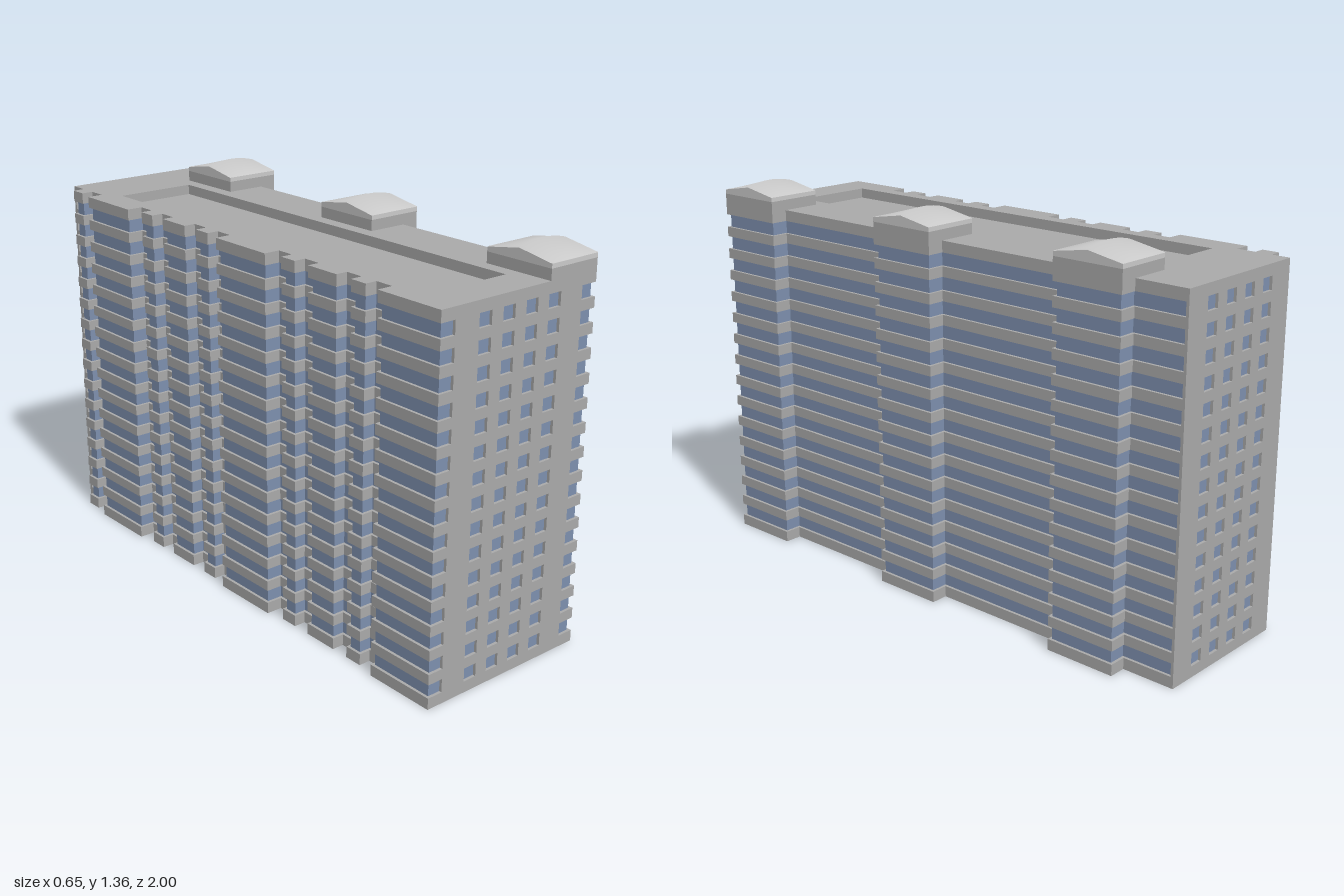
import * as THREE from 'three';

const concrete = new THREE.MeshStandardMaterial({ color: 0xaaaaaa });
const glass = new THREE.MeshStandardMaterial({ color: 0x7e90af });
const light = new THREE.MeshStandardMaterial({ color: 0xcccccc });

const FLOORS = 15, STEP = 0.0815, SILL = 0.039, BAND = 0.046, TOP = 1.265;
const WALL_R = 0.265, WALL_L = -0.27, OUT = 0.327, INSET = 0.01;

// Projecting bays: [zStart, zEnd, outer x]
const towers = [[-0.81, -0.55], [-0.034, 0.222], [0.742, 1]];
const rightBays = towers.map(([a, b]) => [a, b, OUT]);
const leftBays = [
  ...towers.map(([a, b]) => [a, b, -OUT]),
  ...[[-0.935, -0.875], [-0.487, -0.422], [-0.357, -0.23], [-0.165, -0.1],
    [0.285, 0.35], [0.415, 0.545], [0.61, 0.675]].map(([a, b]) => [a, b, -0.312]),
].sort((p, q) => q[0] - p[0]);

// Building outline in plan, shrunk by d on every side
function footprint(d) {
  const r = WALL_R - d, l = WALL_L + d;
  const pts = [[r, -1 + d]];
  for (const [a, b, x] of rightBays) {
    pts.push([r, a + d], [x - d, a + d], [x - d, b - d], [r, b - d]);
  }
  for (const [a, b, x] of leftBays) {
    pts.push([l, b - d], [x + d, b - d], [x + d, a + d], [l, a + d]);
  }
  pts.push([l, -1 + d]);
  return new THREE.Shape(pts.map(([x, z]) => new THREE.Vector2(x, z)));
}

// Horizontal layer of a plan shape between two heights
function layer(shape, y0, y1) {
  const g = new THREE.ExtrudeGeometry(shape, { depth: y1 - y0, bevelEnabled: false });
  return g.rotateX(Math.PI / 2).translate(0, y1, 0);
}

function box(x0, x1, y0, y1, z0, z1) {
  return new THREE.BoxGeometry(x1 - x0, y1 - y0, z1 - z0)
    .translate((x0 + x1) / 2, (y0 + y1) / 2, (z0 + z1) / 2);
}

export function createModel() {
  const model = new THREE.Group();
  const add = (name, geometry, material, parent = model) => {
    const mesh = new THREE.Mesh(geometry, material);
    mesh.name = name;
    parent.add(mesh);
    return mesh;
  };

  const solid = footprint(0);
  const glazing = footprint(INSET);
  const pit = { x0: -0.222, x1: 0.074, z0: -0.747, z1: 0.865 };
  const pierced = footprint(0);
  pierced.holes.push(new THREE.Path([
    [pit.x0, pit.z0], [pit.x0, pit.z1], [pit.x1, pit.z1], [pit.x1, pit.z0],
  ].map(([x, z]) => new THREE.Vector2(x, z))));

  // Base and roof slabs, each with a sunken rectangle
  const lastTop = SILL + (FLOORS - 1) * STEP + BAND;
  add('baseSlab', layer(pierced, 0, SILL), concrete);
  add('roofSlab', layer(pierced, lastTop, TOP), concrete);
  add('baseDeck', box(pit.x0, pit.x1, 0.034, 0.044, pit.z0, pit.z1), concrete);
  add('roofDeck', box(pit.x0, pit.x1, lastTop - 0.005, lastTop + 0.004, pit.z0, pit.z1), concrete);

  // Solid piers between the end-wall windows
  const windows = [[-0.174, -0.123], [-0.076, -0.026], [0.021, 0.071], [0.118, 0.17]];
  const edges = [WALL_L, ...windows.flat(), WALL_R];

  for (let i = 0; i < FLOORS; i++) {
    const y0 = SILL + i * STEP, y1 = y0 + BAND;
    const floor = new THREE.Group();
    floor.name = 'floor' + (i + 1);
    model.add(floor);
    add('windowBand', layer(glazing, y0, y1), glass, floor);
    if (i < FLOORS - 1) add('parapetBand', layer(solid, y1, y0 + STEP), concrete, floor);
    for (let k = 0; k < edges.length; k += 2) {
      add('frontPier', box(edges[k], edges[k + 1], y0, y1, 1 - INSET, 1), concrete, floor);
      add('backPier', box(edges[k], edges[k + 1], y0, y1, -1, -1 + INSET), concrete, floor);
    }
  }

  // Rooftop houses with softly vaulted caps
  const x0 = 0.122, w = OUT - x0, cx = x0 + w / 2;
  const wallTop = 1.302, eaves = 1.318, edgeRidge = 1.34, midRidge = 1.355;
  for (const [a, b] of towers) {
    const house = new THREE.Group();
    house.name = 'rooftopHouse';
    model.add(house);
    const d = b - a, cz = (a + b) / 2;
    add('houseWalls', box(x0, OUT, TOP, wallTop, a, b), concrete, house);

    // Gabled block under the vault
    const gable = new THREE.Shape([
      [-d / 2, wallTop], [d / 2, wallTop], [d / 2, eaves - 0.001],
      [0, edgeRidge - 0.001], [-d / 2, eaves - 0.001],
    ].map(([p, q]) => new THREE.Vector2(p, q)));
    add('capBlock', new THREE.ExtrudeGeometry(gable, { depth: w, bevelEnabled: false })
      .rotateY(Math.PI / 2).translate(x0, 0, cz), light, house);

    // Vault: level eaves rising to an arched ridge
    const vault = new THREE.PlaneGeometry(w, d, 16, 2).rotateX(-Math.PI / 2);
    const pos = vault.attributes.position;
    for (let i = 0; i < pos.count; i++) {
      const u = pos.getX(i) / (w / 2), v = Math.abs(pos.getZ(i)) / (d / 2);
      const ridge = edgeRidge + (midRidge - edgeRidge) * (1 - u * u);
      pos.setY(i, eaves + (ridge - eaves) * (1 - v));
    }
    vault.computeVertexNormals();
    add('capVault', vault.translate(cx, 0, cz), light, house);
  }
  return model;
}
